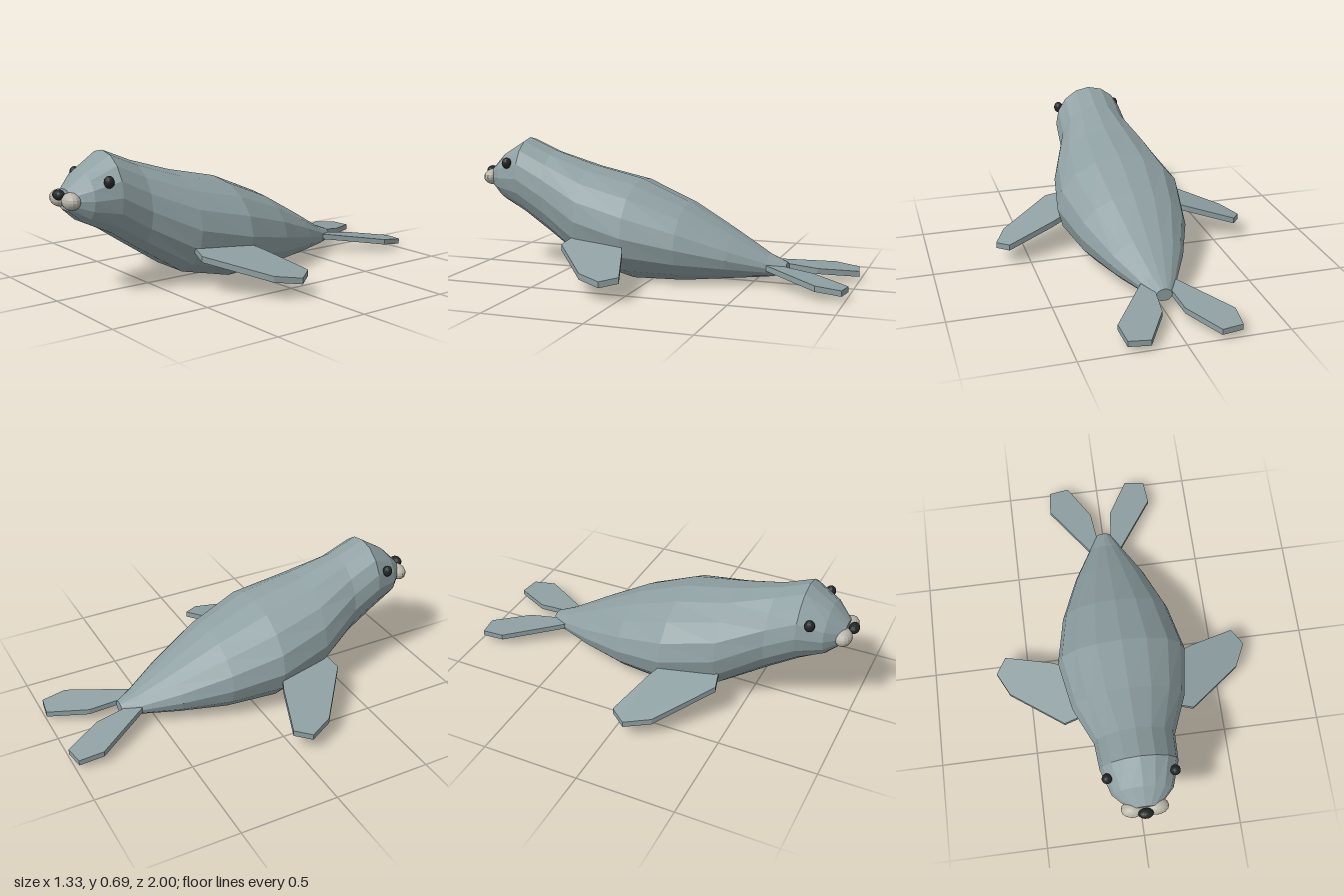
import * as THREE from 'three';

const paint = (color) => new THREE.MeshStandardMaterial({ color, flatShading: true });
const SIDES = 16;

// Body cross-sections from tail to snout: z, bottom, top, half width
const RINGS = [
  [-0.67, 0.05, 0.11, 0.04],
  [-0.58, 0.038, 0.145, 0.09],
  [-0.4, 0.024, 0.25, 0.185],
  [-0.16, 0.003, 0.385, 0.28],
  [0.1, 0, 0.495, 0.333],
  [0.37, 0.06, 0.555, 0.287],
  [0.59, 0.2, 0.623, 0.2],
  [0.74, 0.3, 0.686, 0.19],
  [0.865, 0.36, 0.605, 0.148],
  [0.945, 0.425, 0.525, 0.07],
];

// Loft through the rings; each ring is round with a flattened belly
function bodyGeometry() {
  const pos = [], index = [];
  const flat = Math.cos(Math.PI / SIDES * 2);
  for (const [z, bottom, top, w] of RINGS) {
    const ry = (top - bottom) / (1 + flat);
    const cy = top - ry;
    for (let j = 0; j < SIDES; j++) {
      const a = (j / SIDES) * Math.PI * 2;
      pos.push(w * Math.sin(a), cy + ry * Math.max(-flat, Math.cos(a)), z);
    }
  }
  for (let i = 0; i < RINGS.length - 1; i++) {
    for (let j = 0; j < SIDES; j++) {
      const k = (j + 1) % SIDES;
      const a = i * SIDES + j, b = i * SIDES + k;
      index.push(a, a + SIDES, b, b, a + SIDES, b + SIDES);
    }
  }
  // End caps
  const last = (RINGS.length - 1) * SIDES;
  for (let j = 1; j < SIDES - 1; j++) {
    index.push(0, j, j + 1);
    index.push(last, last + j + 1, last + j);
  }
  const g = new THREE.BufferGeometry();
  g.setAttribute('position', new THREE.Float32BufferAttribute(pos, 3));
  g.setIndex(index);
  g.computeVertexNormals();
  return g;
}

// Flat slab with a plan outline of [x, z] points, its underside set by heightAt(|x|, z)
function flipperGeometry(outline, side, thickness, heightAt) {
  const shape = new THREE.Shape(outline.map(([x, z]) => new THREE.Vector2(side * x, -z)));
  const g = new THREE.ExtrudeGeometry(shape, { depth: thickness, bevelEnabled: false });
  g.rotateX(-Math.PI / 2);
  const p = g.attributes.position;
  for (let i = 0; i < p.count; i++) {
    p.setY(i, p.getY(i) + heightAt(Math.abs(p.getX(i)), p.getZ(i)));
  }
  g.computeVertexNormals();
  return g;
}

export function createModel() {
  const group = new THREE.Group();
  const skin = paint(0x8fa0a3);
  const dark = paint(0x222626);
  const pale = paint(0xb9b5a8);

  const add = (name, geometry, material) => {
    const mesh = new THREE.Mesh(geometry, material);
    mesh.name = name;
    group.add(mesh);
    return mesh;
  };
  const blob = (name, material, position, radii) => {
    const mesh = add(name, new THREE.SphereGeometry(1, 14, 10), material);
    mesh.position.set(...position);
    mesh.scale.set(...radii);
    return mesh;
  };

  add('body', bodyGeometry(), skin);
  blob('nose', dark, [0, 0.5, 0.973], [0.037, 0.025, 0.026]);

  const front = [[0.24, 0.13], [0.25, 0.39], [0.335, 0.41], [0.605, 0.195],
    [0.665, 0.07], [0.61, -0.01], [0.37, 0.07]];
  const rear = [[0.03, -0.58], [0.04, -0.67], [0.055, -0.81], [0.165, -1],
    [0.27, -0.985], [0.28, -0.86], [0.09, -0.58]];

  for (const side of [1, -1]) {
    const tag = side > 0 ? 'left' : 'right';
    blob(tag + 'Eye', dark, [side * 0.162, 0.563, 0.8], [0.025, 0.029, 0.025]);
    blob(tag + 'Muzzle', pale, [side * 0.057, 0.474, 0.94], [0.058, 0.041, 0.042]);
    add(tag + 'FrontFlipper',
      flipperGeometry(front, side, 0.03, (x) => 0.183 - (x - 0.25) * 0.268), skin);
    add(tag + 'RearFlipper',
      flipperGeometry(rear, side, 0.028, (x, z) => 0.077 + (z + 0.58) * 0.125), skin);
  }
  return group;
}
